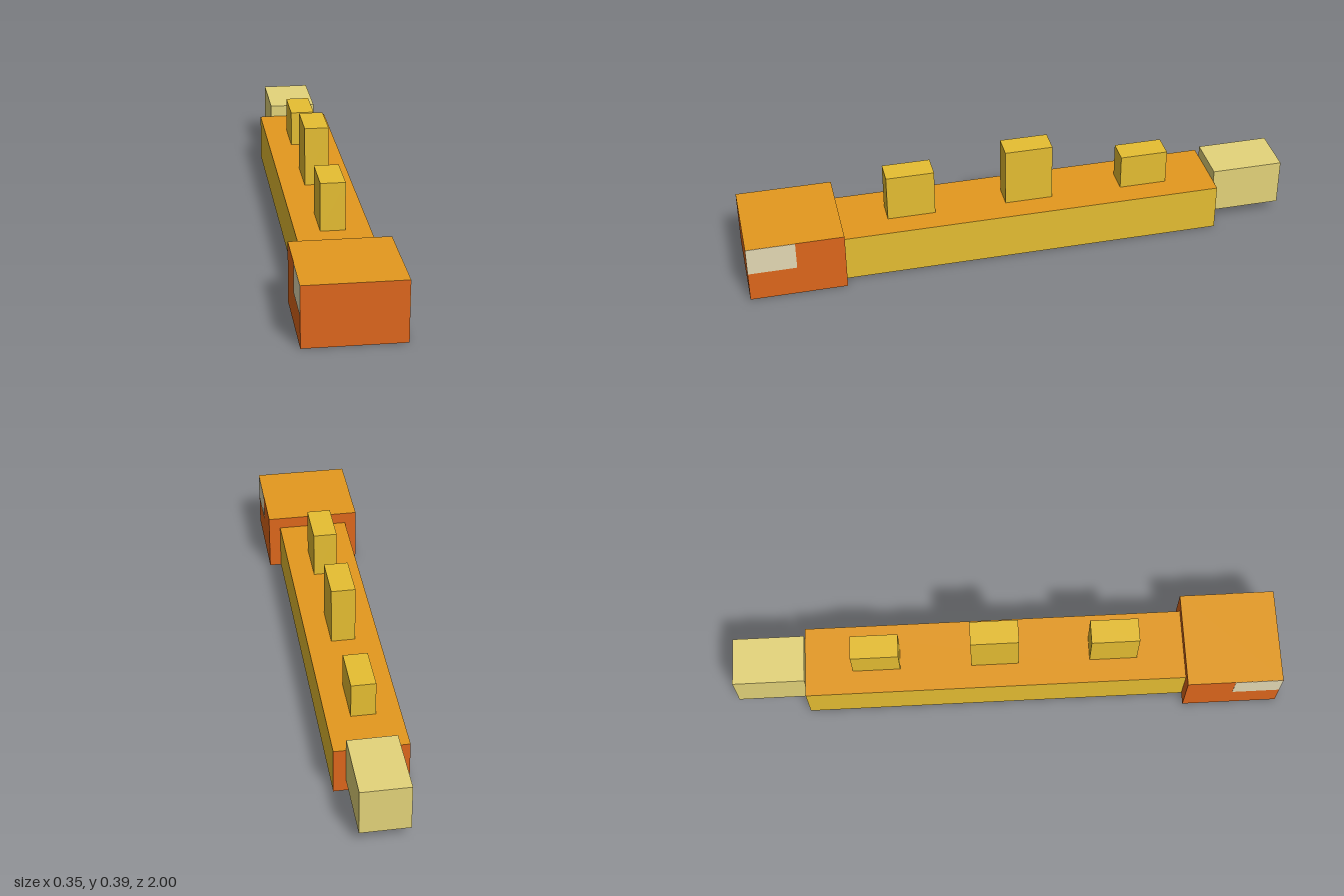
import * as THREE from 'three';

const U = 2 / 46; // one grid step of the blocky design

function mat(name, color) {
  const m = new THREE.MeshStandardMaterial({ color });
  m.name = name;
  return m;
}

export function createModel() {
  const group = new THREE.Group();
  group.name = 'blockCreature';

  const gold = mat('gold', 0xe6be32);
  const amber = mat('amber', 0xe4991e);
  const rust = mat('rust', 0xde671c);
  const maroon = mat('maroon', 0x8b281e);
  const straw = mat('straw', 0xe4d47a);
  const bone = mat('bone', 0xe4dab4);

  // Block from its lower and upper corners, in grid steps
  function block(name, lo, hi, material) {
    const size = hi.map((h, i) => (h - lo[i]) * U);
    const mesh = new THREE.Mesh(new THREE.BoxGeometry(...size), material);
    mesh.position.set(...hi.map((h, i) => ((h + lo[i]) / 2) * U));
    mesh.name = name;
    group.add(mesh);
  }

  // Face order: left, right, top, bottom, front, back
  block('body', [-3, 0, -17], [3, 4, 15], [gold, gold, amber, maroon, rust, rust]);
  block('head', [-4, 0, 15], [4, 5, 23], [rust, rust, amber, rust, rust, rust]);
  block('tail', [-2, 1, -23], [2, 5, -17], straw);

  // Back spikes: start along z, and top height
  [[7, 8, 'frontSpike'], [-3, 9, 'middleSpike'], [-13, 7, 'rearSpike']].forEach(([z, top, name]) =>
    block(name, [-1, 4, z], [1, top, z + 4], gold));

  // Pale eye patches on both sides of the head
  for (const [side, name] of [[1, 'leftEye'], [-1, 'rightEye']]) {
    const x = side * 4;
    block(name, [x - 0.02, 2.6, 19], [x + 0.02, 4.99, 22.99], bone);
  }

  return group;
}
